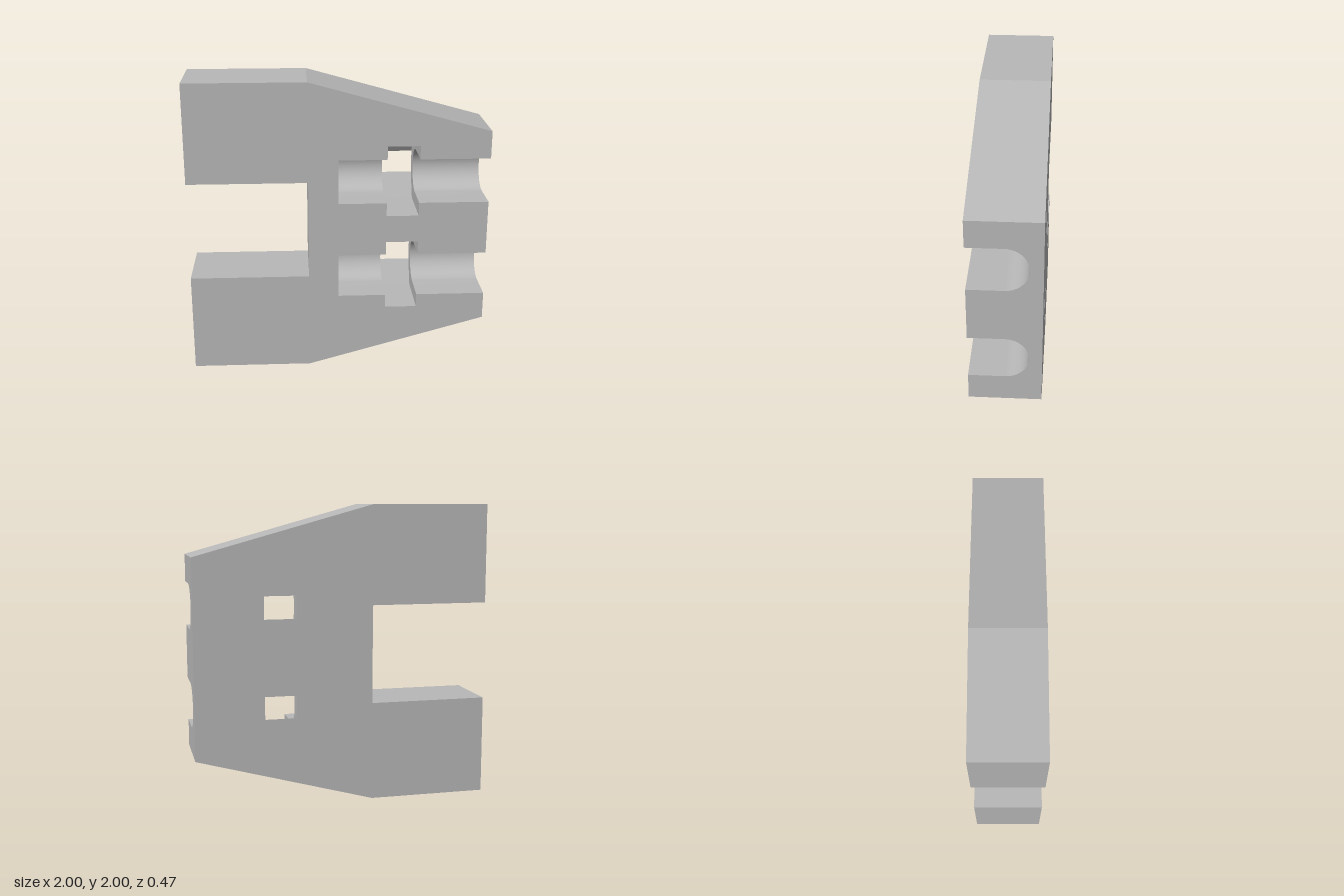
import * as THREE from 'three';
import { toCreasedNormals } from 'three/addons/utils/BufferGeometryUtils.js';

const D = 0.233;            // half thickness
const R = 0.15;             // rod channel radius
const ROWS = [1.333, 0.667]; // channel heights, top first
const FLAT = 0.24;          // hex pocket, half across flats
const SIDE = FLAT / Math.sqrt(3);

export function createModel() {
  const group = new THREE.Group();
  group.name = 'clampBlock';
  const grey = new THREE.MeshStandardMaterial({ color: 0xb8b8b8 });
  grey.name = 'grey';

  const add = (geometry, name) => {
    const mesh = new THREE.Mesh(geometry, grey);
    mesh.name = name;
    group.add(mesh);
    return mesh;
  };

  // Extrudes a side section (depth, height) along x and tapers its outer edges
  const slab = (shape, x0, x1, name) => {
    const geo = new THREE.ExtrudeGeometry(shape, { depth: x1 - x0, bevelEnabled: false, curveSegments: 40 });
    geo.rotateY(Math.PI / 2).translate(x0, 0, 0);
    const p = geo.attributes.position;
    for (let i = 0; i < p.count; i++) {
      const cut = (p.getX(i) + 0.2) * 0.278;
      if (p.getY(i) > 1.99) p.setY(i, 2 - cut);
      else if (p.getY(i) < 0.01) p.setY(i, cut);
    }
    add(toCreasedNormals(geo, 0.4), name);
  };
  const polygon = (points) => new THREE.Shape(points.map(([a, y]) => new THREE.Vector2(a, y)));

  // Two jaws of the fork
  for (const [y, name] of [[0.3335, 'lowerJaw'], [1.6665, 'upperJaw']]) {
    add(new THREE.BoxGeometry(0.8, 0.667, 2 * D), name).position.set(-0.6, y, 0);
  }

  // Solid web behind the fork
  slab(polygon([[-D, 0], [D, 0], [D, 2], [-D, 2]]), -0.2, 0, 'web');

  // Section with two round-bottomed channels open to the front
  const channels = new THREE.Shape();
  channels.moveTo(D, 0);
  channels.lineTo(D, 2);
  channels.lineTo(-D, 2);
  for (const y of ROWS) {
    channels.lineTo(-D, y + R);
    channels.lineTo(0, y + R);
    channels.absarc(0, y, R, Math.PI / 2, -Math.PI / 2, true);
    channels.lineTo(-D, y - R);
  }
  channels.lineTo(-D, 0);
  channels.closePath();
  slab(channels, 0, 0.32, 'innerChannels');
  slab(channels, 0.535, 1, 'outerChannels');

  // Hexagonal nut pockets, whose points break through the back
  const gap = (2 * SIDE - D) * Math.sqrt(3);
  const below = (y) => [[D, y - gap], [SIDE, y - FLAT], [-D, y - FLAT]];
  const above = (y) => [[-D, y + FLAT], [SIDE, y + FLAT], [D, y + gap]];
  const [hi, lo] = ROWS;
  slab(polygon([[D, 2], [-D, 2], ...above(hi)]), 0.32, 0.535, 'upperPocketWall');
  slab(polygon([...below(hi), ...above(lo)]), 0.32, 0.535, 'middlePocketWall');
  slab(polygon([...below(lo), [-D, 0], [D, 0]]), 0.32, 0.535, 'lowerPocketWall');

  return group;
}
